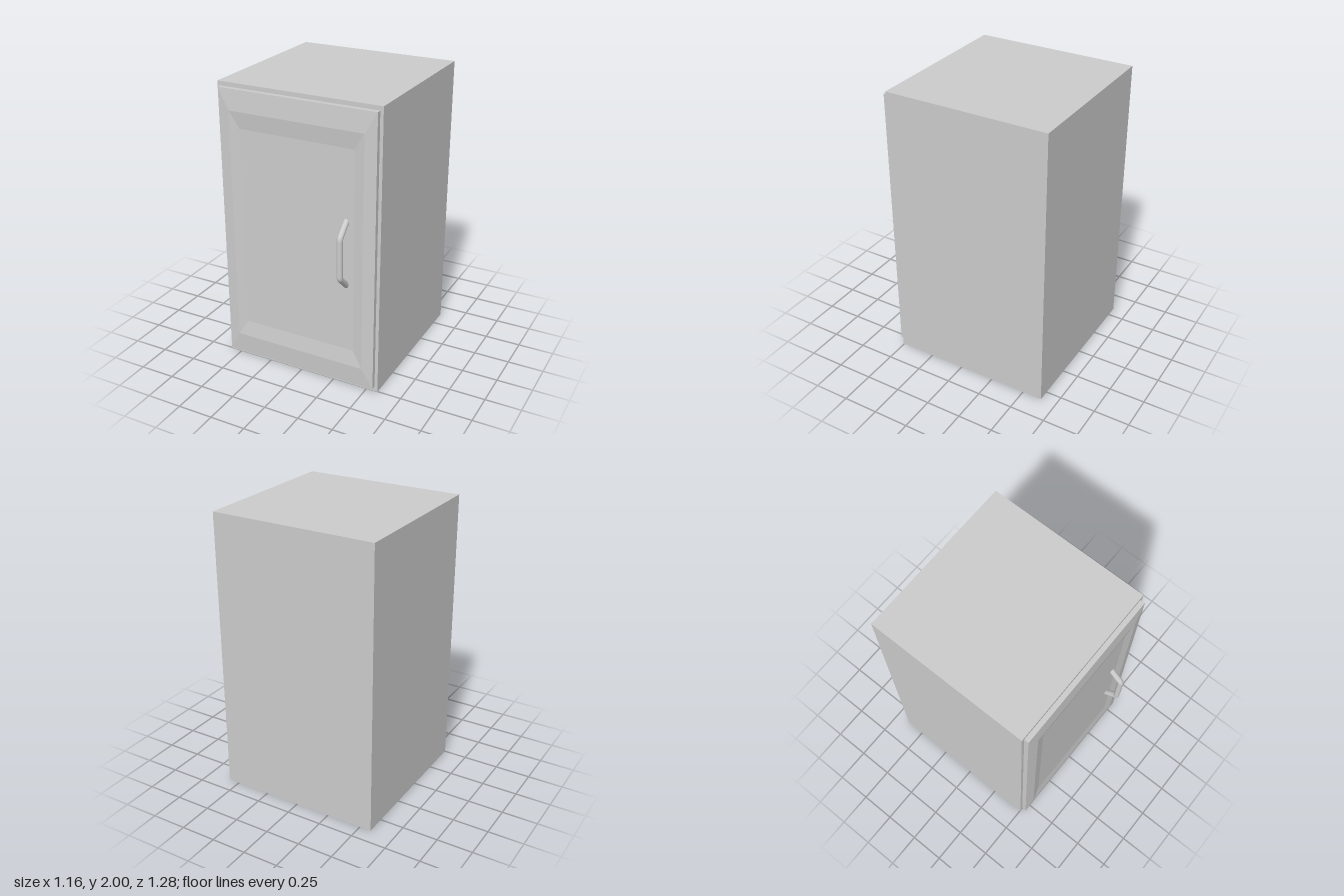
import * as THREE from 'three';

const material = new THREE.MeshStandardMaterial({ color: 0xcccccc });

function addMesh(group, name, geometry) {
  const mesh = new THREE.Mesh(geometry, material);
  mesh.name = name;
  group.add(mesh);
  return mesh;
}

// Closed solid from rectangular rings [halfWidth, halfHeight, z], back to front
function steppedPanel(rings) {
  const corners = rings.map(([w, h, z]) => [[-w, -h, z], [w, -h, z], [w, h, z], [-w, h, z]]);
  const positions = [];
  const quad = (a, b, c, d) => positions.push(...a, ...b, ...c, ...a, ...c, ...d);
  for (let i = 0; i < corners.length - 1; i++) {
    for (let k = 0; k < 4; k++) {
      const n = (k + 1) % 4;
      quad(corners[i][k], corners[i][n], corners[i + 1][n], corners[i + 1][k]);
    }
  }
  const back = corners[0];
  const front = corners[corners.length - 1];
  quad(back[3], back[2], back[1], back[0]);
  quad(front[0], front[1], front[2], front[3]);
  const geometry = new THREE.BufferGeometry();
  geometry.setAttribute('position', new THREE.Float32BufferAttribute(positions, 3));
  geometry.computeVertexNormals();
  return geometry;
}

// Polyline path with tightly rounded corners
function bentPath(points, fillet) {
  const path = new THREE.CurvePath();
  let start = points[0];
  for (let i = 1; i < points.length - 1; i++) {
    const p = points[i];
    const before = p.clone().add(points[i - 1].clone().sub(p).setLength(fillet));
    const after = p.clone().add(points[i + 1].clone().sub(p).setLength(fillet));
    path.add(new THREE.LineCurve3(start, before));
    path.add(new THREE.QuadraticBezierCurve3(before, p, after));
    start = after;
  }
  path.add(new THREE.LineCurve3(start, points[points.length - 1]));
  return path;
}

export function createModel() {
  const group = new THREE.Group();
  group.name = 'cabinet';

  // Plain box carcass
  addMesh(group, 'carcass', new THREE.BoxGeometry(1.164, 2, 1.145)).position.set(0, 1, -0.0675);

  // Door with a sloped frame and a recessed centre panel
  addMesh(group, 'door', steppedPanel([
    [0.56, 0.967, 0.505],
    [0.56, 0.967, 0.537],
    [0.48, 0.825, 0.548],
    [0.41, 0.71, 0.535],
  ])).position.y = 1.003;

  // Bent bar handle, ends sunk into the door
  const path = bentPath([
    [0.77, 0.525], [0.86, 0.62], [1.14, 0.62], [1.23, 0.525],
  ].map(([y, z]) => new THREE.Vector3(0.355, y, z)), 0.015);
  addMesh(group, 'handle', new THREE.TubeGeometry(path, 80, 0.02, 16, false));

  return group;
}
